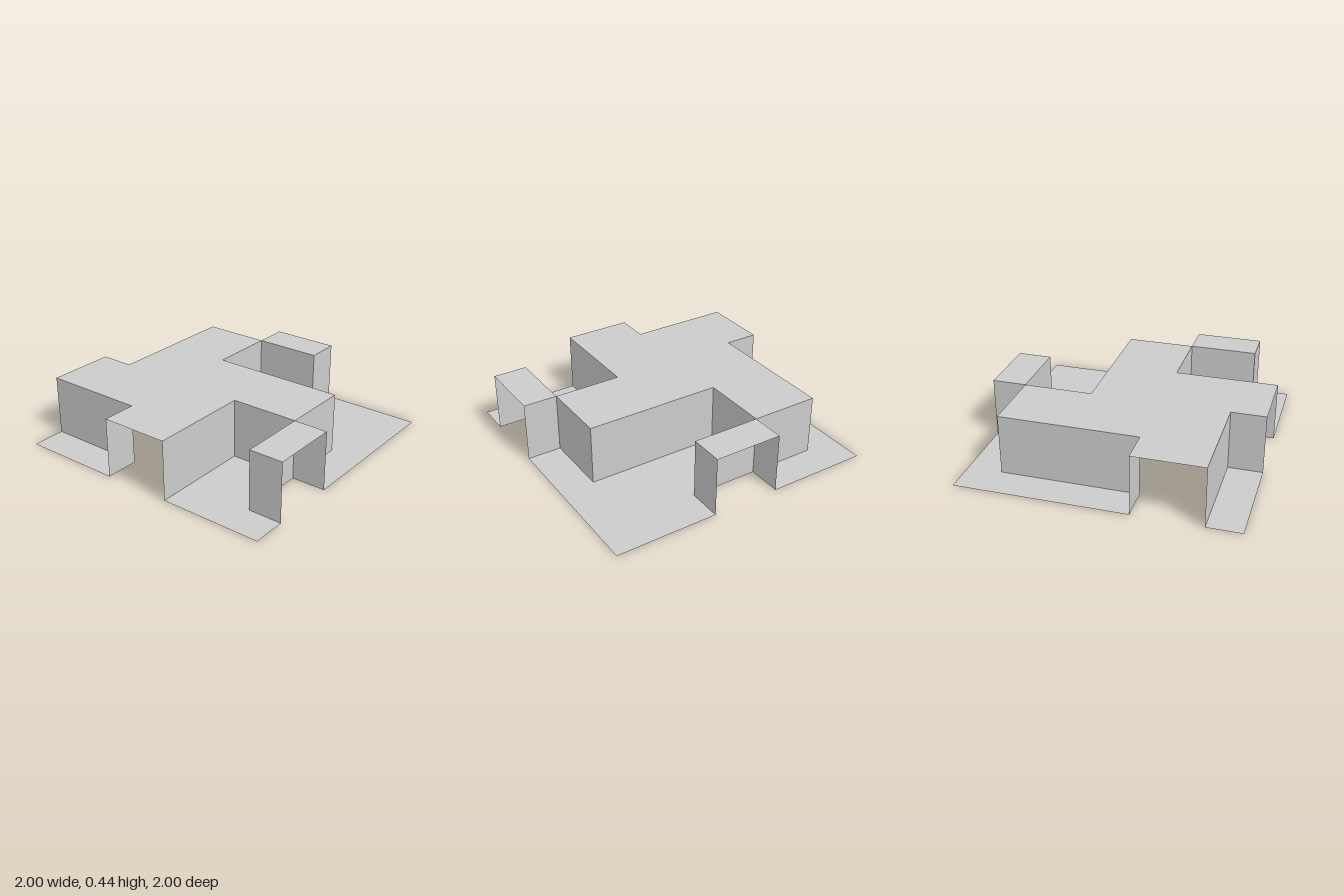
import * as THREE from 'three';

const HEIGHT = 0.44;
const material = new THREE.MeshStandardMaterial({
  color: 0xcccccc, flatShading: true, side: THREE.DoubleSide,
});

// Flat horizontal sheet from an [x, z] outline at height y
function sheet(name, outline, y) {
  const shape = new THREE.Shape(outline.map(([x, z]) => new THREE.Vector2(x, -z)));
  const mesh = new THREE.Mesh(new THREE.ShapeGeometry(shape).rotateX(-Math.PI / 2), material);
  mesh.name = name;
  mesh.position.y = y;
  return mesh;
}

// Upright thin walls following an [x, z] path
function wall(name, path) {
  const group = new THREE.Group();
  group.name = name;
  for (let i = 1; i < path.length; i++) {
    const [x0, z0] = path[i - 1], [x1, z1] = path[i];
    const panel = new THREE.Mesh(
      new THREE.PlaneGeometry(Math.hypot(x1 - x0, z1 - z0), HEIGHT), material);
    panel.name = name + 'Panel';
    panel.position.set((x0 + x1) / 2, HEIGHT / 2, (z0 + z1) / 2);
    panel.rotation.y = -Math.atan2(z1 - z0, x1 - x0);
    group.add(panel);
  }
  return group;
}

export function createModel() {
  const model = new THREE.Group();
  model.name = 'steppedSheet';
  const a = 0.25, b = 0.75;

  // Raised plateaus
  model.add(
    sheet('centrePlateau', [[-b, -b], [-a, -b], [-a, -a], [b, -a], [b, a], [a, a],
      [a, 1], [-a, 1], [-a, b], [-1, b], [-1, a], [-b, a]], HEIGHT),
    sheet('backPlateau', [[-a, -1], [a, -1], [a, -b], [-a, -b]], HEIGHT),
    sheet('leftPlateau', [[b, a], [1, a], [1, b], [b, b]], HEIGHT),
  );

  // Ground-level floors
  model.add(
    sheet('backRightFloor', [[-1, -1], [-a, -1], [-a, -b], [-b, -b], [-b, a], [-1, a]], 0),
    sheet('backLeftFloor', [[a, -1], [1, -1], [1, a], [b, a], [b, -a], [-a, -a],
      [-a, -b], [a, -b]], 0),
    sheet('frontRightFloor', [[-1, b], [-a, b], [-a, 1], [-1, 1]], 0),
    sheet('frontLeftFloor', [[a, a], [b, a], [b, b], [1, b], [1, 1], [a, 1]], 0),
  );

  // Step walls joining the two levels
  model.add(
    wall('diagonalStepWall', [[-a, -1], [-a, -a], [b, -a], [b, b], [1, b]]),
    wall('backRightStepWall', [[a, -1], [a, -b], [-b, -b], [-b, a], [-1, a]]),
    wall('frontRightStepWall', [[-1, b], [-a, b], [-a, 1]]),
    wall('frontLeftStepWall', [[a, 1], [a, a], [1, a]]),
  );
  return model;
}
